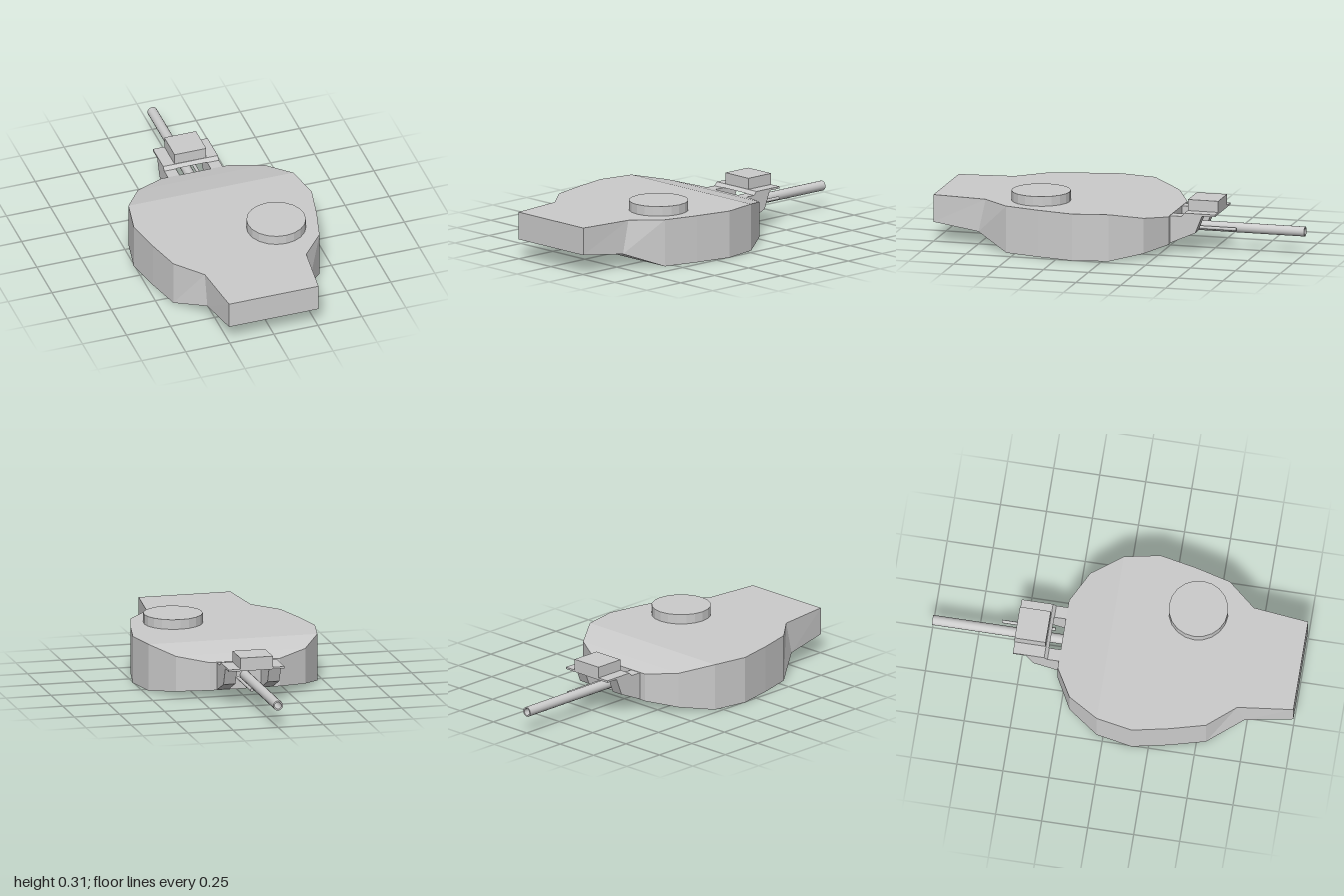
import * as THREE from 'three';

const material = new THREE.MeshStandardMaterial({ color: 0xcccccc, flatShading: true, side: THREE.DoubleSide });
const smooth = new THREE.MeshStandardMaterial({ color: 0xcccccc, side: THREE.DoubleSide });

function add(parent, name, geometry, x = 0, y = 0, z = 0, mat = material) {
  const mesh = new THREE.Mesh(geometry, mat);
  mesh.name = name;
  mesh.position.set(x, y, z);
  parent.add(mesh);
  return mesh;
}

// Turret shell lofted through stations; the turret ring underneath stays open
function shellGeometry() {
  // [half width, bottom z, bottom y, top z, top y]
  const stations = [
    [0.254, 1, 0.107, 1, 0.257],
    [0.288, 0.74, 0.077, 0.70, 0.257],
    [0.415, 0.55, 0, 0.55, 0.257],
    [0.465, 0.36, 0, 0.36, 0.257],
    [0.505, 0.16, 0, 0.16, 0.257],
    [0.468, -0.035, 0, -0.035, 0.257],
    [0.358, -0.2, 0.029, -0.2, 0.223],
    [0.195, -0.29, 0.046, -0.29, 0.2],
  ];
  const positions = [];
  const quad = (a, b, c, d) => positions.push(...a, ...b, ...c, ...a, ...c, ...d);
  const corners = ([w, zb, yb, zt, yt]) => ({
    bl: [-w, yb, zb], br: [w, yb, zb], tl: [-w, yt, zt], tr: [w, yt, zt],
  });
  const rings = stations.map(corners);
  for (let i = 0; i < rings.length - 1; i++) {
    const a = rings[i], b = rings[i + 1];
    quad(a.br, b.br, b.tr, a.tr); // +x wall
    quad(b.bl, a.bl, a.tl, b.tl); // -x wall
    quad(a.tl, a.tr, b.tr, b.tl); // roof
    if (i < 2 || i > 4) quad(b.bl, b.br, a.br, a.bl); // sloped floors
  }
  const first = rings[0], last = rings[rings.length - 1];
  quad(first.bl, first.br, first.tr, first.tl);
  quad(last.br, last.bl, last.tl, last.tr);
  const geometry = new THREE.BufferGeometry();
  geometry.setAttribute('position', new THREE.Float32BufferAttribute(positions, 3));
  geometry.computeVertexNormals();
  return geometry;
}

// Extrudes a side profile of [distance towards -z, y] points across x
function sideExtrude(points, width) {
  const shape = new THREE.Shape(points.map(([s, y]) => new THREE.Vector2(s, y)));
  return new THREE.ExtrudeGeometry(shape, { depth: width, bevelEnabled: false })
    .translate(0, 0, -width / 2)
    .rotateY(Math.PI / 2);
}

export function createModel() {
  const model = new THREE.Group();
  model.name = 'turret';

  add(model, 'turretShell', shellGeometry());
  add(model, 'hatch', new THREE.CylinderGeometry(0.16, 0.16, 0.053, 20), 0.217, 0.2835, 0.41);

  // Gun mount: two side arms carrying a plate and a sight box
  const mount = new THREE.Group();
  mount.name = 'gunMount';
  model.add(mount);
  const arm = [[0.28, 0.045], [0.295, 0.05], [0.43, 0.11], [0.47, 0.21], [0.365, 0.21], [0.352, 0.198], [0.28, 0.198]];
  for (const side of [-1, 1]) {
    add(mount, side > 0 ? 'leftArm' : 'rightArm', sideExtrude(arm, 0.066), side * 0.122);
  }
  const plate = [[0.353, 0.199], [0.368, 0.206], [0.54, 0.206], [0.54, 0.217], [0.37, 0.217]];
  add(mount, 'mountPlate', sideExtrude(plate, 0.31));
  add(mount, 'sightBox', new THREE.BoxGeometry(0.18, 0.063, 0.168), 0, 0.2465, -0.456);

  // Hollow gun barrel pointing towards -z
  const bore = [[0.019, 0], [0.027, 0], [0.027, 0], [0.027, 0.71], [0.027, 0.71], [0.019, 0.71], [0.019, 0.71], [0.019, 0]];
  const barrel = new THREE.LatheGeometry(bore.map(([r, h]) => new THREE.Vector2(r, h)), 16).rotateX(-Math.PI / 2);
  add(model, 'barrel', barrel, 0, 0.12, -0.29, smooth);

  // Thin secondary gun beside the barrel
  const secondary = new THREE.CylinderGeometry(0.009, 0.009, 0.29, 10).rotateX(Math.PI / 2);
  add(model, 'secondaryGun', secondary, 0.05, 0.12, -0.485, smooth);

  return model;
}
